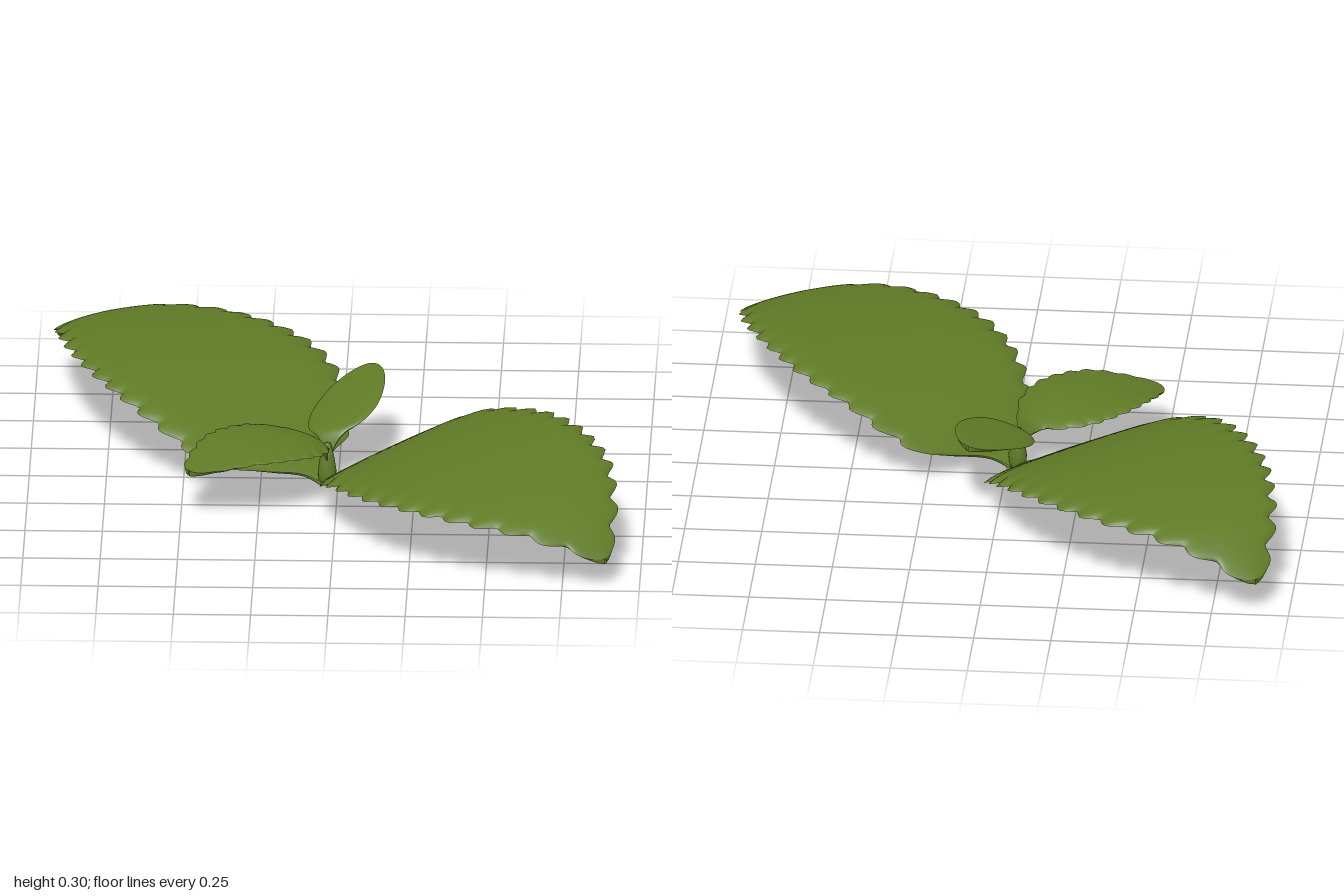
import * as THREE from 'three';

const leafGreen = new THREE.MeshStandardMaterial({ color: 0x607a26, side: THREE.DoubleSide });
leafGreen.name = 'leafGreen';

const BASE = new THREE.Vector3(-0.035, 0, 0.05);

// One leaf: a thin two-sided blade lofted along a midrib.
// profile rows are [distance along midrib, height, half width].
// shift moves the blade sideways near its base; drop and tipDrop lower the
// edges near the base and near the tip; lip rolls the rim down.
function makeLeaf({ name, dir, profile, shift = 0, tilt = 0, drop = 0, tipDrop = 0, lip = 0.008, teeth = 0, tooth = 0 }) {
  const rows = 140, cols = 28, thick = 0.018;
  const u = new THREE.Vector2(dir[0], dir[1]).normalize();
  const curve = new THREE.CatmullRomCurve3(profile.map(p => new THREE.Vector3(...p)), false, 'centripetal');
  const length = profile[profile.length - 1][0];
  const wMax = Math.max(...profile.map(p => p[2]));
  const pos = [], idx = [];

  for (const under of [0, 1]) {
    const start = pos.length / 3;
    for (let i = 0; i <= rows; i++) {
      const { x: t, y, z } = curve.getPoint(i / rows);
      const w = Math.max(z, 0.002), full = Math.min(1, w / wMax);
      const along = Math.min(1, t / length);
      const sideways = shift * (1 - along) ** 2 * Math.min(1, w / 0.2);
      // scalloped edge with the bulge leaning to the tip
      const phase = Math.max(0, along * teeth) % 1;
      const scallop = teeth ? Math.sin(Math.PI * Math.pow(phase, 1.4)) - 0.7 : 0;
      for (let j = 0; j <= cols; j++) {
        const v = Math.sin((j / cols - 0.5) * Math.PI);
        const edge = v ** 4;
        const s = v * (w + tooth * scallop * edge * Math.min(1, w / 0.1)) + sideways;
        const sag = v * v * full * (drop * Math.max(0, 1 - 1.4 * along) + tipDrop * along ** 3);
        const vein = tooth * 0.1 * scallop * edge * full;
        const h = y - sag + tilt * s + vein - lip * v ** 12 * full
          - under * thick * (1 - v ** 8);
        pos.push(BASE.x + u.x * t - u.y * s, Math.max(h, 0), BASE.z + u.y * t + u.x * s);
        if (i < rows && j < cols) {
          const a = start + i * (cols + 1) + j, b = a + 1, c = a + cols + 1, d = c + 1;
          if (under) idx.push(a, c, b, b, c, d);
          else idx.push(a, b, c, b, d, c);
        }
      }
    }
  }
  const geo = new THREE.BufferGeometry();
  geo.setAttribute('position', new THREE.Float32BufferAttribute(pos, 3));
  geo.setIndex(idx);
  geo.computeVertexNormals();
  const mesh = new THREE.Mesh(geo, leafGreen);
  mesh.name = name;
  return mesh;
}

export function createModel() {
  const model = new THREE.Group();
  model.name = 'seedling';

  // Two large opposite leaves
  model.add(makeLeaf({
    name: 'largeBackLeaf', dir: [-0.64, -0.77], shift: -0.08, tilt: -0.035,
    drop: 0.012, tipDrop: 0.05, lip: 0.02, teeth: 15, tooth: 0.036,
    profile: [
      [0, 0.015, 0.022], [0.05, 0.04, 0.05], [0.1, 0.07, 0.17], [0.19, 0.125, 0.31], [0.32, 0.195, 0.375],
      [0.48, 0.252, 0.41], [0.68, 0.282, 0.4], [0.9, 0.288, 0.34], [1.08, 0.272, 0.25],
      [1.2, 0.235, 0.17], [1.28, 0.18, 0.1], [1.335, 0.13, 0.04], [1.345, 0.12, 0.004],
    ],
  }));
  model.add(makeLeaf({
    name: 'largeFrontLeaf', dir: [0.71, 0.7], shift: -0.12, tilt: -0.1,
    drop: 0.01, tipDrop: 0.04, lip: 0.02, teeth: 15, tooth: 0.036,
    profile: [
      [0, 0.015, 0.022], [0.05, 0.045, 0.055], [0.1, 0.085, 0.2], [0.19, 0.145, 0.3], [0.33, 0.213, 0.37],
      [0.55, 0.26, 0.415], [0.75, 0.275, 0.395], [0.97, 0.264, 0.32], [1.1, 0.232, 0.23],
      [1.18, 0.192, 0.16], [1.245, 0.147, 0.09], [1.29, 0.107, 0.035], [1.3, 0.098, 0.004],
    ],
  }));

  // Two small young leaves
  model.add(makeLeaf({
    name: 'smallBackLeaf', dir: [0.3, -0.95], tilt: 0.25, drop: 0.012,
    profile: [
      [0, 0.03, 0.014], [0.015, 0.12, 0.018], [0.035, 0.165, 0.045], [0.08, 0.188, 0.09], [0.16, 0.21, 0.112],
      [0.25, 0.232, 0.106], [0.34, 0.252, 0.08], [0.4, 0.262, 0.046], [0.425, 0.265, 0.018], [0.43, 0.265, 0.003],
    ],
  }));
  model.add(makeLeaf({
    name: 'smallFrontLeaf', dir: [-0.81, 0.59], drop: 0.03, teeth: 10, tooth: 0.014,
    profile: [
      [0, 0.03, 0.016], [0.015, 0.11, 0.025], [0.04, 0.165, 0.07], [0.09, 0.192, 0.135], [0.18, 0.21, 0.185],
      [0.27, 0.212, 0.188], [0.36, 0.205, 0.165], [0.44, 0.19, 0.12], [0.51, 0.173, 0.065],
      [0.54, 0.165, 0.025], [0.543, 0.164, 0.003],
    ],
  }));

  // Short stem joining the leaf stalks
  const stem = new THREE.Mesh(new THREE.LatheGeometry([
    [0.001, 0], [0.02, 0.002], [0.028, 0.02], [0.03, 0.05], [0.022, 0.1], [0.012, 0.14], [0.001, 0.145],
  ].map(p => new THREE.Vector2(...p)), 20), leafGreen);
  stem.name = 'stem';
  stem.position.copy(BASE);
  model.add(stem);

  return model;
}
